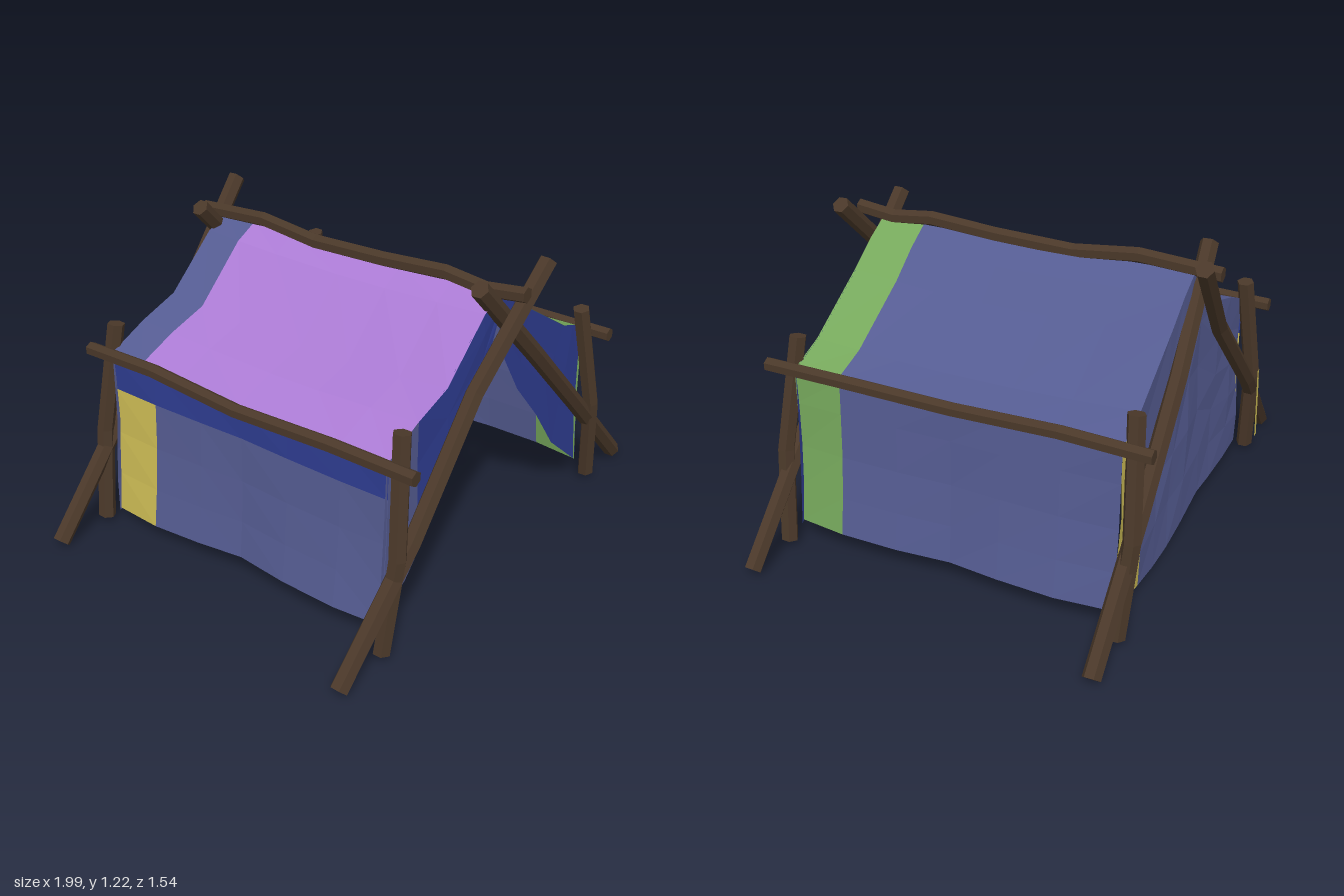
import * as THREE from 'three';

const mat = (name, color, side = THREE.FrontSide) => {
  const m = new THREE.MeshStandardMaterial({ color, side });
  m.name = name;
  return m;
};
const lerp = (a, b, t) => a + (b - a) * t;

// sample a polyline (arrays of coordinates) at t in 0..1
function along(pts, t) {
  const f = t * (pts.length - 1);
  const i = Math.min(Math.floor(f), pts.length - 2);
  return pts[i].map((a, k) => lerp(a, pts[i + 1][k], f - i));
}

// unshared vertices give faceted shading
function faceted(geo) {
  const g = geo.index ? geo.toNonIndexed() : geo;
  g.computeVertexNormals();
  return g;
}

// six-sided pole following a slightly crooked path
function pole(name, pts, r, material) {
  const n = pts.length - 1;
  const geo = new THREE.CylinderGeometry(r, r, 1, 6, n);
  const dir = new THREE.Vector3(...pts[n]).sub(new THREE.Vector3(...pts[0])).normalize();
  const q = new THREE.Quaternion().setFromUnitVectors(new THREE.Vector3(0, 1, 0), dir);
  const pos = geo.attributes.position, v = new THREE.Vector3();
  for (let i = 0; i < pos.count; i++) {
    const c = along(pts, THREE.MathUtils.clamp(pos.getY(i) + 0.5, 0, 1));
    v.set(pos.getX(i), 0, pos.getZ(i)).applyQuaternion(q);
    pos.setXYZ(i, c[0] + v.x, c[1] + v.y, c[2] + v.z);
  }
  const mesh = new THREE.Mesh(faceted(geo), material);
  mesh.name = name;
  return mesh;
}

// cloth grid: point(i, j) gives each corner, paint(i, j) the material index of each cell
function cloth(name, nu, nv, point, paint, materials) {
  const cells = materials.map(() => []);
  for (let i = 0; i < nu; i++) for (let j = 0; j < nv; j++) {
    const a = point(i, j), b = point(i + 1, j), c = point(i + 1, j + 1), d = point(i, j + 1);
    cells[paint(i, j)].push(...a, ...b, ...c, ...a, ...c, ...d);
  }
  const geo = new THREE.BufferGeometry();
  let start = 0;
  cells.forEach((list, k) => {
    geo.addGroup(start, list.length / 3, k);
    start += list.length / 3;
  });
  geo.setAttribute('position', new THREE.Float32BufferAttribute(cells.flat(), 3));
  const mesh = new THREE.Mesh(faceted(geo), materials);
  mesh.name = name;
  return mesh;
}

export function createModel() {
  const group = new THREE.Group();
  const wood = mat('dark wood', 0x4a3829);
  const [slate, blue, green, purple, yellow] = [
    ['slate cloth', 0x555c92], ['deep blue cloth', 0x2e3c90], ['green cloth', 0x76a85c],
    ['purple cloth', 0xab7bd4], ['yellow cloth', 0xcdbc55],
  ].map(([n, c]) => mat(n, c, THREE.DoubleSide));

  // ridge and side rails
  group.add(pole('ridgePole', [[-0.01, 1.14, 0.76], [-0.01, 1.12, 0.6], [-0.01, 1.14, 0.43], [-0.01, 1.12, 0.15],
    [-0.01, 1.11, -0.17], [-0.01, 1.14, -0.43], [-0.01, 1.12, -0.75]], 0.03, wood));
  for (const s of [1, -1]) {
    const x = s > 0 ? 0.655 : -0.67;
    group.add(pole(s > 0 ? 'leftRail' : 'rightRail', [[x, 0.735, 0.77], [x, 0.735, 0.42], [x - 0.01, 0.725, 0],
      [x, 0.745, -0.42], [x, 0.735, -0.76]], 0.028, wood));
  }

  // corner posts and crossed end poles
  for (const e of [1, -1]) {
    const end = e > 0 ? 'front' : 'back';
    group.add(pole(end + 'LeftPost', [[0.74, 0.03, 0.685 * e], [0.68, 0.4, 0.705 * e], [0.59, 0.845, 0.67 * e]], 0.034, wood));
    group.add(pole(end + 'RightPost', [[-0.735, 0.03, 0.69 * e], [-0.68, 0.4, 0.71 * e], [-0.61, 0.845, 0.67 * e]], 0.034, wood));
    group.add(pole(end + 'OuterCrossPole', [[-0.975, 0.03, 0.69 * e], [-0.6, 0.42, 0.71 * e], [-0.21, 0.82, 0.69 * e],
      [0.165, 1.205, 0.735 * e]], 0.035, wood));
    group.add(pole(end + 'InnerCrossPole', [[0.97, 0.03, 0.69 * e], [0.57, 0.44, 0.69 * e], [0.22, 0.8, 0.68 * e],
      [-0.145, 1.18, 0.65 * e]], 0.035, wood));
  }

  // roof slopes, ridge to rail
  const roofL = [[0, 1.115], [0.1, 1.06], [0.22, 0.975], [0.5, 0.8], [0.655, 0.74]];
  const roofR = [[0, 1.115], [-0.1, 1.07], [-0.32, 0.875], [-0.49, 0.82], [-0.66, 0.745]];
  const zL = [-0.65, -0.4, -0.17, 0.1, 0.3, 0.465, 0.65];
  const zR = [-0.65, -0.495, -0.3, 0, 0.22, 0.45, 0.65];
  const sag = (z) => Math.cos((z / 0.65) * Math.PI / 2);
  const roofPoint = (prof, zs) => (i, j) => {
    const hang = [0.005, 0.02, 0.04, 0.025, 0.008][j];
    return [prof[j][0], prof[j][1] - hang * sag(zs[i]), zs[i]];
  };
  group.add(cloth('leftRoof', 6, 4, roofPoint(roofL, zL), (i) => (i === 5 ? 1 : 0), [slate, green]));
  group.add(cloth('rightRoof', 6, 4, roofPoint(roofR, zR), (i) => (i === 0 ? 0 : 1), [slate, purple]));

  // side walls, rail to ground
  const wall = [[0.655, 0.735], [0.66, 0.6], [0.668, 0.42], [0.685, 0.25], [0.705, 0.1]];
  const zW = [-0.65, -0.43, -0.2, 0, 0.22, 0.455, 0.65];
  const wallPoint = (s) => (i, j) => {
    const z = zW[i], low = j / 4;
    const billow = 0.014 * low * Math.cos(z * 9 + Math.PI);
    const drop = s < 0 && z < 0 ? 0.045 * low * (-z / 0.65) : 0;
    return [s * (wall[j][0] + billow), wall[j][1] - drop, z];
  };
  group.add(cloth('leftWall', 6, 4, wallPoint(1), (i) => (i === 5 ? 1 : 0), [slate, green]));
  group.add(cloth('rightWall', 6, 4, wallPoint(-1), (i, j) => (j === 0 ? 1 : i === 0 ? 2 : 0), [slate, blue, yellow]));

  // end cloths hang from the roof profile to a lower edge
  const hanging = (name, top, bottom, rows, z, ripple, paint, mats) => cloth(name, top.length - 1, rows, (i, j) => {
    const t = j / rows;
    return [lerp(top[i][0], bottom[i][0], t), lerp(top[i][1], bottom[i][1], t),
      z + ripple * Math.sin(t * Math.PI) * Math.sin(i * 1.9 + j)];
  }, paint, mats);

  group.add(hanging('backWall', [...roofR.slice(1).reverse(), ...roofL],
    [[-0.7, 0.05], [-0.55, 0.045], [-0.35, 0.055], [-0.2, 0.07], [0, 0.035], [0.15, 0.02], [0.3, 0.025], [0.45, 0.045], [0.7, 0.085]],
    5, -0.65, 0.012, (i) => (i === 7 ? 1 : 0), [slate, yellow]));

  group.add(hanging('frontRightFlap', [[-0.66, 0.745], [-0.57, 0.785], [-0.48, 0.822], [-0.32, 0.875], [-0.1, 1.07], [0, 1.115]],
    [[-0.7, 0.1], [-0.54, 0.2], [-0.465, 0.28], [-0.28, 0.51], [-0.08, 0.81], [0, 1.01]],
    3, 0.645, 0.005, (i) => (i < 2 ? 0 : 1), [slate, blue]));

  group.add(hanging('frontLeftFlap', [...roofL.slice(0, 4), [0.58, 0.77], roofL[4]],
    [[0, 1.01], [0.06, 0.83], [0.17, 0.66], [0.33, 0.48], [0.48, 0.28], [0.705, 0.09]],
    3, 0.645, 0.005, () => 0, [blue]));

  // narrow cloth end wrapped behind the rear corner post
  group.add(cloth('cornerWrap', 1, 1, (i, j) => [lerp(-0.725, -0.68, j) + (i ? 0 : 0.025), lerp(0.09, 0.43, j), -0.742],
    () => 0, [yellow]));

  return group;
}
